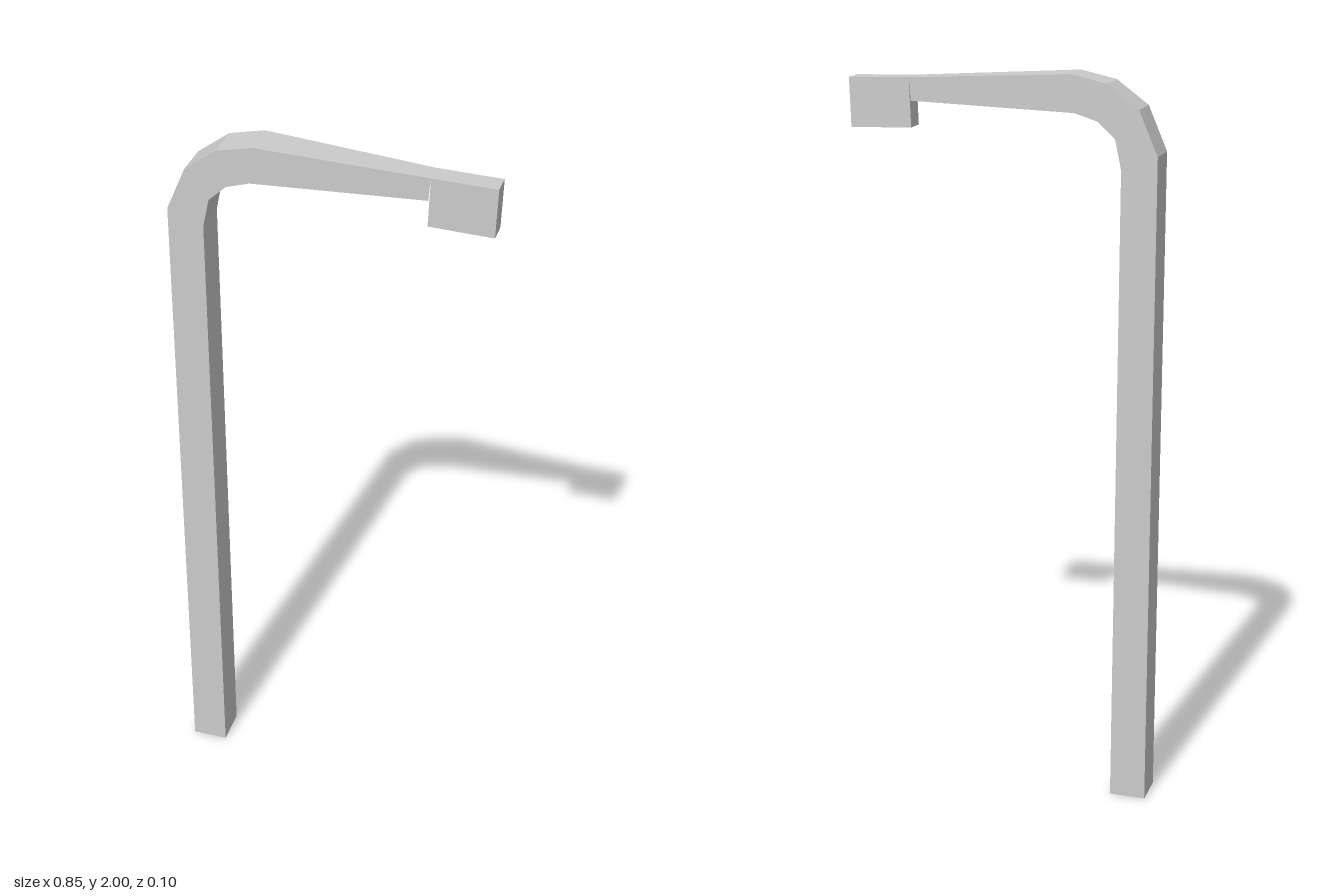
import * as THREE from 'three';

const material = new THREE.MeshStandardMaterial({ color: 0xcccccc, flatShading: true });

// Joins rectangular sections [outerX, outerY, innerX, innerY, halfDepth] into a faceted bar
function loft(name, sections, capStart, capEnd) {
  const positions = [];
  const index = [];
  for (const [ox, oy, ix, iy, h] of sections) {
    positions.push(ox, oy, h, ix, iy, h, ix, iy, -h, ox, oy, -h);
  }
  for (let s = 0; s < sections.length - 1; s++) {
    for (let k = 0; k < 4; k++) {
      const a = s * 4 + k;
      const b = s * 4 + ((k + 1) % 4);
      index.push(a, b, b + 4, a, b + 4, a + 4);
    }
  }
  const e = (sections.length - 1) * 4;
  if (capStart) index.push(0, 2, 1, 0, 3, 2);
  if (capEnd) index.push(e, e + 1, e + 2, e, e + 2, e + 3);

  const indexed = new THREE.BufferGeometry();
  indexed.setAttribute('position', new THREE.Float32BufferAttribute(positions, 3));
  indexed.setIndex(index);
  const geometry = indexed.toNonIndexed();
  geometry.computeVertexNormals();
  const mesh = new THREE.Mesh(geometry, material);
  mesh.name = name;
  return mesh;
}

export function createModel() {
  const group = new THREE.Group();
  group.name = 'streetLamp';

  const W = 0.051; // half depth of post
  const T = 0.029; // half depth of lamp head
  const base = [-0.425, 0, -0.326, 0, W];
  const postTop = [-0.421, 1.8, -0.326, 1.762, W];
  const bendEnd = [-0.19, 2.0, -0.2, 1.902, W];

  // Square upright post
  group.add(loft('post', [base, postTop], true, false));

  // Elbow turning the post into the arm
  group.add(loft('bend', [
    postTop,
    [-0.37, 1.917, -0.309, 1.84, W],
    [-0.285, 1.979, -0.262, 1.883, W],
    bendEnd,
  ], false, false));

  // Arm tapering in height and depth
  group.add(loft('arm', [bendEnd, [0.255, 1.973, 0.25, 1.912, T]], false, false));

  // Lamp head dropping below the arm
  group.add(loft('lampHead', [
    [0.255, 1.973, 0.25, 1.842, T],
    [0.423, 1.968, 0.419, 1.836, T],
  ], true, true));

  return group;
}
